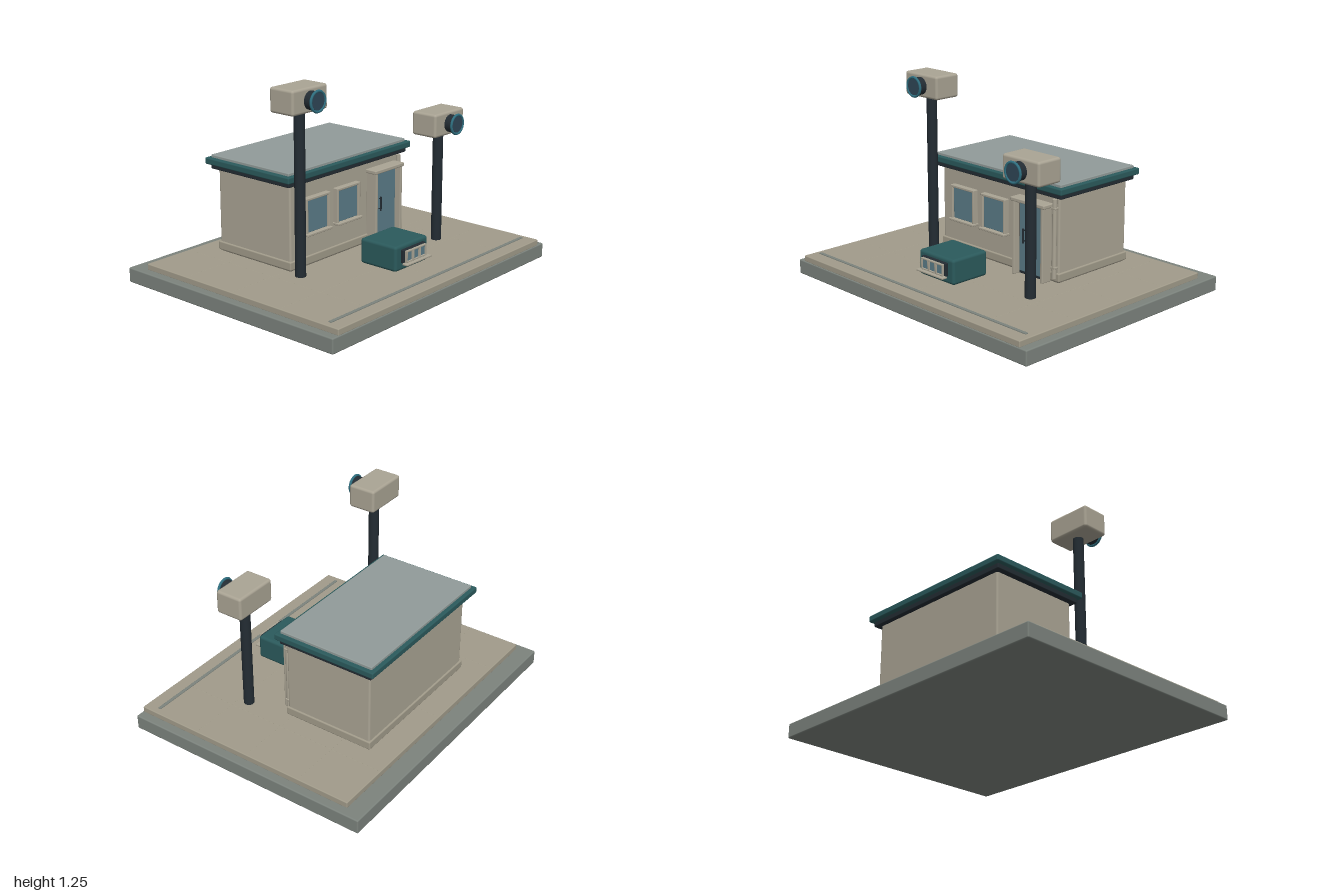
import * as THREE from 'three';
import { RoundedBoxGeometry } from 'three/addons/geometries/RoundedBoxGeometry.js';

const mat = (color) => new THREE.MeshStandardMaterial({ color });

export function createModel() {
  const root = new THREE.Group();
  const beige = mat(0xaaa494), paving = mat(0xa19b8a), stone = mat(0x7c837d);
  const teal = mat(0x2b5a5c), dark = mat(0x232c33), glass = mat(0x5b7c88);
  const roofGrey = mat(0x919b99), lensBlue = mat(0x2f4656), rimBlue = mat(0x2f6f80);

  // Softly bevelled box given by its limits on each axis
  function box(parent, name, material, [x0, x1], [y0, y1], [z0, z1], r = 0.005) {
    const w = x1 - x0, h = y1 - y0, d = z1 - z0;
    const radius = Math.min(r, Math.min(w, h, d) * 0.45);
    const mesh = new THREE.Mesh(new RoundedBoxGeometry(w, h, d, 2, radius), material);
    mesh.position.set((x0 + x1) / 2, (y0 + y1) / 2, (z0 + z1) / 2);
    mesh.name = name;
    parent.add(mesh);
    return mesh;
  }

  function rod(parent, name, material, r, length, x, y, z, alongZ = false, sides = 24) {
    const mesh = new THREE.Mesh(new THREE.CylinderGeometry(r, r, length, sides), material);
    if (alongZ) mesh.rotation.x = Math.PI / 2;
    mesh.position.set(x, y, z);
    mesh.name = name;
    parent.add(mesh);
    return mesh;
  }

  function group(name) {
    const g = new THREE.Group();
    g.name = name;
    root.add(g);
    return g;
  }

  // Ground
  const ground = group('ground');
  box(ground, 'base', stone, [-1, 1], [0, 0.092], [-0.81, 0.81], 0.008);
  box(ground, 'pavement', paving, [-0.95, 0.945], [0.088, 0.128], [-0.7, 0.805], 0.006);
  box(ground, 'frontStrip', stone, [-0.91, 0.905], [0.124, 0.134], [0.7, 0.72], 0.003);
  for (const x of [-0.62, 0, 0.62])
    box(ground, 'pavingJoint', paving, [x - 0.002, x + 0.002], [0.126, 0.1285], [-0.69, 0.69], 0.001);
  for (const z of [-0.36, 0.01, 0.38])
    box(ground, 'pavingJoint', paving, [-0.94, 0.935], [0.126, 0.1285], [z - 0.002, z + 0.002], 0.001);

  // Building shell and plinth
  const building = group('building');
  box(building, 'walls', beige, [-0.5, 0.5], [0.128, 0.665], [-0.54, 0.043], 0.012);
  box(building, 'plinth', paving, [-0.51, 0.51], [0.138, 0.192], [-0.55, 0.052], 0.008);

  // Layered flat roof
  const roof = group('roof');
  box(roof, 'roofUnderside', dark, [-0.535, 0.535], [0.65, 0.685], [-0.568, 0.068], 0.006);
  box(roof, 'fascia', teal, [-0.56, 0.556], [0.68, 0.72], [-0.595, 0.09], 0.008);
  box(roof, 'roofTop', roofGrey, [-0.532, 0.53], [0.715, 0.737], [-0.57, 0.065], 0.005);

  // Windows: dark surround, glass, beige trim and sill
  for (const x of [-0.292, -0.02]) {
    const win = group('window');
    box(win, 'windowSurround', dark, [x - 0.098, x + 0.098], [0.335, 0.55], [0.035, 0.06]);
    box(win, 'windowGlass', glass, [x - 0.088, x + 0.088], [0.343, 0.543], [0.05, 0.066], 0.003);
    for (const s of [-1, 1])
      box(win, 'windowJamb', beige, [x + s * 0.097 - 0.008, x + s * 0.097 + 0.008], [0.335, 0.553], [0.04, 0.078], 0.004);
    box(win, 'windowHead', beige, [x - 0.105, x + 0.105], [0.54, 0.556], [0.04, 0.078], 0.004);
    box(win, 'windowSill', beige, [x - 0.11, x + 0.11], [0.328, 0.343], [0.04, 0.092], 0.004);
  }

  // Entrance
  const door = group('entrance');
  box(door, 'doorSurround', dark, [0.2, 0.43], [0.13, 0.59], [0.035, 0.072]);
  box(door, 'doorPanel', glass, [0.215, 0.415], [0.15, 0.577], [0.06, 0.082], 0.004);
  for (const x of [0.195, 0.43])
    box(door, 'doorJamb', beige, [x - 0.01, x + 0.01], [0.13, 0.59], [0.04, 0.118], 0.005);
  box(door, 'doorLintel', beige, [0.175, 0.452], [0.584, 0.608], [0.04, 0.123], 0.006);
  rod(door, 'doorHandle', dark, 0.006, 0.09, 0.258, 0.377, 0.096, false, 10);
  for (const y of [0.345, 0.41])
    rod(door, 'handleStud', dark, 0.004, 0.02, 0.258, y, 0.088, true, 8);

  // Wall pipe beside the entrance
  const pipe = group('wallPipe');
  rod(pipe, 'downpipe', beige, 0.014, 0.48, 0.475, 0.4, 0.056, false, 16);
  for (const y of [0.22, 0.58])
    box(pipe, 'pipeBracket', beige, [0.457, 0.493], [y, y + 0.012], [0.04, 0.07], 0.003);

  // Lamp posts: pole, boxy head, front-facing lens
  function post(x, z, headY) {
    const g = group('lampPost');
    const poleTop = headY + 0.01;
    rod(g, 'pole', dark, 0.032, poleTop - 0.125, x, (poleTop + 0.125) / 2, z);
    box(g, 'postHead', beige, [x - 0.144, x + 0.144], [headY, headY + 0.146], [z - 0.092, z + 0.086], 0.016);
    const y = headY + 0.073, front = z + 0.086;
    rod(g, 'lensBarrel', dark, 0.054, 0.06, x, y, front + 0.025, true, 32);
    rod(g, 'lensGlass', lensBlue, 0.05, 0.006, x, y, front + 0.055, true, 32);
    const rim = new THREE.Mesh(new THREE.TorusGeometry(0.058, 0.008, 10, 36), rimBlue);
    rim.position.set(x, y, front + 0.055);
    rim.name = 'lensRim';
    g.add(rim);
  }
  post(-0.505, 0.127, 1.108);
  post(0.538, 0.315, 0.815);

  // Low cabinet with a three-pane front display
  const cabinet = group('cabinet');
  box(cabinet, 'cabinetBody', teal, [-0.155, 0.147], [0.15, 0.305], [0.28, 0.547], 0.018);
  box(cabinet, 'displayBack', dark, [-0.108, 0.1], [0.198, 0.28], [0.53, 0.568], 0.005);
  for (let i = -1; i <= 1; i++) {
    const x = -0.003 + i * 0.062;
    box(cabinet, 'displayPane', glass, [x - 0.024, x + 0.024], [0.21, 0.268], [0.56, 0.575], 0.003);
    for (const s of [-1, 1])
      box(cabinet, 'paneUpright', beige, [x + s * 0.027 - 0.004, x + s * 0.027 + 0.004], [0.204, 0.274], [0.56, 0.583], 0.002);
    box(cabinet, 'paneTop', beige, [x - 0.031, x + 0.031], [0.266, 0.275], [0.56, 0.583], 0.002);
    box(cabinet, 'paneBottom', beige, [x - 0.031, x + 0.031], [0.203, 0.212], [0.56, 0.583], 0.002);
  }
  box(cabinet, 'displayShelf', beige, [-0.118, 0.112], [0.192, 0.204], [0.565, 0.603], 0.004);

  return root;
}
